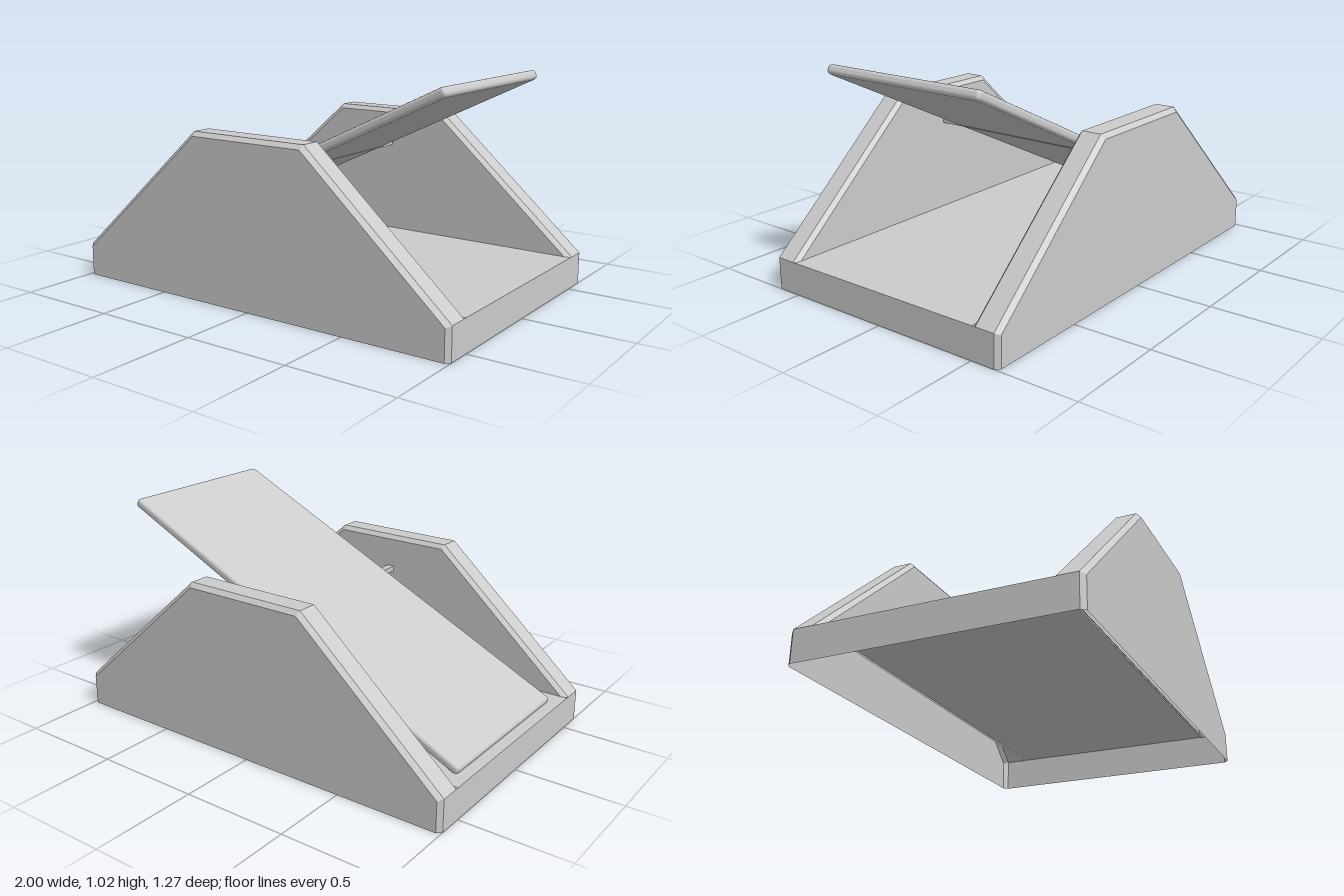
import * as THREE from 'three';
import { RoundedBoxGeometry } from 'three/addons/geometries/RoundedBoxGeometry.js';

const material = new THREE.MeshStandardMaterial({ color: 0xcccccc, side: THREE.DoubleSide });

function addMesh(parent, name, geometry) {
  const mesh = new THREE.Mesh(geometry, material);
  mesh.name = name;
  parent.add(mesh);
  return mesh;
}

// Side outline of a wall, inset evenly by d, at depth z
function outline(d, z) {
  const half = [[1 - d, 0], [1 - d, 0.15 - 0.45 * d], [0.3 - 0.38 * d, 0.77 - d]];
  const mirrored = half.map(([x, y]) => [-x, y]).reverse();
  return [...half, ...mirrored].map(([x, y]) => new THREE.Vector3(x, y, z));
}

// Hollow wall with chamfered edges, open at the bottom
function wallGeometry() {
  const rings = [outline(0.02, 0.505), outline(0, 0.523), outline(0, 0.615), outline(0.02, 0.635)];
  const points = [];
  const fan = (p) => {
    for (let i = 1; i < p.length - 1; i++) points.push(p[0], p[i], p[i + 1]);
  };
  for (let r = 0; r < 3; r++) {
    const a = rings[r], b = rings[r + 1];
    // The inner chamfer stops at the deck; the others reach the floor
    const first = r === 0 ? 1 : 0;
    for (let i = first; i < 5 - first; i++) fan([a[i], a[i + 1], b[i + 1], b[i]]);
  }
  fan(rings[3]);
  fan(rings[0].slice(1, 5).reverse());
  const geometry = new THREE.BufferGeometry().setFromPoints(points);
  geometry.computeVertexNormals();
  return geometry;
}

export function createModel() {
  const model = new THREE.Group();
  model.name = 'tiltingBoardStand';

  // Side walls
  const wall = wallGeometry();
  addMesh(model, 'frontWall', wall);
  addMesh(model, 'backWall', wall).scale.z = -1;

  // Thin deck and end skirts between the walls
  const deck = addMesh(model, 'deck', new THREE.PlaneGeometry(2, 1.015));
  deck.rotation.x = -Math.PI / 2;
  deck.position.y = 0.15;
  for (const s of [1, -1]) {
    const skirt = addMesh(model, s > 0 ? 'leftSkirt' : 'rightSkirt', new THREE.PlaneGeometry(1.046, 0.15));
    skirt.rotation.y = s * Math.PI / 2;
    skirt.position.set(s, 0.075, 0);
  }

  // Pivot rod running from wall to wall
  const rod = addMesh(model, 'pivotRod', new THREE.BoxGeometry(0.035, 0.026, 1.02));
  rod.position.y = 0.598;

  // Tilted board, its low end resting in the deck
  const board = addMesh(model, 'board', new RoundedBoxGeometry(1.975, 0.045, 0.84, 2, 0.018));
  board.position.set(-0.055, 0.58, 0);
  board.rotation.z = THREE.MathUtils.degToRad(25.5);

  return model;
}
